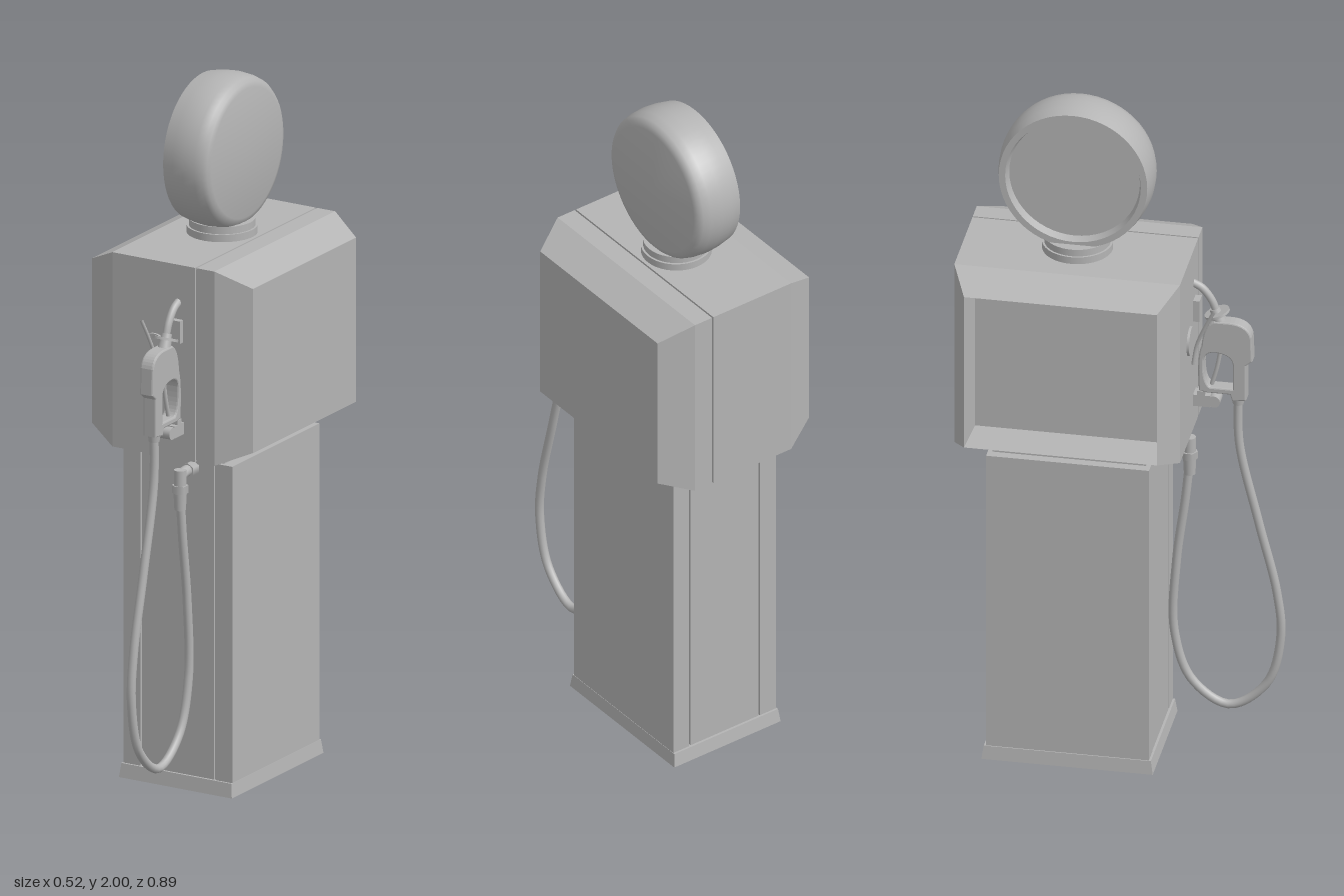
import * as THREE from 'three';
import { toCreasedNormals } from 'three/addons/utils/BufferGeometryUtils.js';

const V = (x, y, z) => new THREE.Vector3(x, y, z);

// Skin rectangular sections [x, y0, y1, z0, z1], closed at both ends
function sectionSolid(sections) {
  const pos = [];
  const loops = sections.map(([x, y0, y1, z0, z1]) => [[x, y0, z0], [x, y0, z1], [x, y1, z1], [x, y1, z0]]);
  const quad = (a, b, c, d) => [a, b, c, a, c, d].forEach(p => pos.push(...p));
  for (let i = 0; i < loops.length - 1; i++) {
    for (let j = 0; j < 4; j++) {
      const k = (j + 1) % 4;
      quad(loops[i][j], loops[i + 1][j], loops[i + 1][k], loops[i][k]);
    }
  }
  quad(...loops[0]);
  quad(...loops[loops.length - 1].slice().reverse());
  const g = new THREE.BufferGeometry();
  g.setAttribute('position', new THREE.Float32BufferAttribute(pos, 3));
  g.computeVertexNormals();
  return g;
}

export function createModel() {
  const model = new THREE.Group();
  model.name = 'fuelPump';
  const grey = new THREE.MeshStandardMaterial({ color: 0xb4b4b4 });
  grey.name = 'grey';

  const add = (name, geometry, x = 0, y = 0, z = 0) => {
    const m = new THREE.Mesh(geometry, grey);
    m.name = name;
    m.position.set(x, y, z);
    model.add(m);
    return m;
  };
  // Box given by its limits
  const box = (name, x0, x1, y0, y1, z0, z1) => add(name, new THREE.BoxGeometry(x1 - x0, y1 - y0, z1 - z0),
    (x0 + x1) / 2, (y0 + y1) / 2, (z0 + z1) / 2);
  const tube = (name, points, radius, segments = 24) => add(name, new THREE.TubeGeometry(
    new THREE.CatmullRomCurve3(points), segments, radius, 12, false));
  const cyl = (name, r0, r1, h, x, y, z, n = 24) => add(name, new THREE.CylinderGeometry(r0, r1, h, n), x, y, z);

  // Base with tapered top edge
  const base = new THREE.BoxGeometry(0.365, 0.04, 0.48);
  const p = base.attributes.position;
  for (let i = 0; i < p.count; i++) {
    if (p.getY(i) > 0) p.setXYZ(i, p.getX(i) * 0.975, p.getY(i), p.getZ(i) * 0.975);
  }
  base.computeVertexNormals();
  add('base', base, -0.006, 0.02, -0.125);

  // Column: core, two side doors separated by narrow grooves, and collar
  box('columnCore', -0.13, 0.12, 0.04, 0.955, -0.346, 0.096);
  box('columnFace', -0.122, 0.111, 0.04, 0.955, -0.352, 0.102);
  box('leftDoor', 0.117, 0.171, 0.04, 0.955, -0.353, 0.103);
  box('rightDoor', -0.181, -0.126, 0.04, 0.955, -0.353, 0.103);
  box('collar', -0.155, 0.138, 0.955, 0.985, -0.34, 0.09);

  // Cabinet: open recess on one side, groove across, closed bevelled panel on the other
  const full = [0.98, 1.542, -0.445, 0.187];
  const groove = [0.985, 1.536, -0.439, 0.181];
  const edge = [1.02, 1.495, -0.40, 0.14];
  add('cabinet', sectionSolid([
    [-0.15, 1.03, 1.485, -0.39, 0.13],
    [-0.26, ...edge], [-0.165, ...full], [0.102, ...full],
    [0.102, ...groove], [0.107, ...groove], [0.107, ...full],
    [0.165, ...full], [0.26, ...edge],
  ]));

  // Neck and round globe with a recessed face on one side
  cyl('neckFlange', 0.098, 0.098, 0.022, -0.006, 1.552, -0.13, 40);
  cyl('neck', 0.092, 0.092, 0.035, -0.006, 1.566, -0.13, 40);
  const globeProfile = [[0, -0.045], [0.183, -0.045], [0.19, -0.069], [0.208, -0.069], [0.215, -0.035],
    [0.218, 0], [0.215, 0.035], [0.209, 0.057], [0.2, 0.068], [0.185, 0.073], [0, 0.075]]
    .map(([r, h]) => new THREE.Vector2(r, h));
  const globe = toCreasedNormals(new THREE.LatheGeometry(globeProfile, 56), 0.6);
  globe.rotateZ(-Math.PI / 2);
  add('globe', globe, 0, 1.782, -0.131);

  // Nozzle body with grip opening, drawn in the side plane (z, y)
  const X = 0.046;
  const outline = new THREE.Shape();
  outline.moveTo(0.335, 1.085);
  outline.lineTo(0.335, 1.195);
  outline.lineTo(0.353, 1.21);
  outline.lineTo(0.35, 1.285);
  outline.quadraticCurveTo(0.34, 1.325, 0.29, 1.326);
  outline.lineTo(0.245, 1.326);
  outline.quadraticCurveTo(0.215, 1.31, 0.21, 1.245);
  outline.quadraticCurveTo(0.196, 1.21, 0.203, 1.105);
  outline.lineTo(0.225, 1.1);
  outline.lineTo(0.29, 1.1);
  outline.lineTo(0.296, 1.08);
  const opening = new THREE.Path();
  opening.moveTo(0.298, 1.118);
  opening.lineTo(0.235, 1.118);
  opening.quadraticCurveTo(0.214, 1.13, 0.216, 1.2);
  opening.quadraticCurveTo(0.22, 1.228, 0.25, 1.228);
  opening.quadraticCurveTo(0.298, 1.225, 0.298, 1.19);
  outline.holes.push(opening);
  const nozzle = new THREE.ExtrudeGeometry(outline, {
    depth: 0.032, bevelEnabled: true, bevelThickness: 0.005, bevelSize: 0.004, bevelOffset: -0.004, bevelSegments: 2, curveSegments: 8,
  });
  nozzle.rotateY(-Math.PI / 2);
  add('nozzleBody', nozzle, X + 0.016, 0, 0);
  tube('trigger', [V(X, 1.225, 0.26), V(X, 1.17, 0.25), V(X, 1.115, 0.235)], 0.006, 10);

  // Splash guard, spout and holders
  cyl('nozzleNeck', 0.014, 0.02, 0.05, X, 1.335, 0.252).rotation.x = -0.35;
  cyl('splashGuard', 0.036, 0.036, 0.007, X, 1.345, 0.251).rotation.x = -0.35;
  tube('spout', [V(X, 1.34, 0.252), V(X, 1.385, 0.235), V(X, 1.42, 0.208), V(X, 1.435, 0.18)], 0.011);
  box('upperHolder', X - 0.018, X + 0.018, 1.32, 1.385, 0.18, 0.205);
  box('lowerHolder', X - 0.02, X + 0.02, 1.055, 1.09, 0.18, 0.235);
  const holderTip = cyl('lowerHolderTip', 0.0175, 0.0175, 0.04, X, 1.0725, 0.245);
  holderTip.rotation.z = Math.PI / 2;
  box('lowerHolderLip', X - 0.02, X + 0.02, 1.075, 1.103, 0.198, 0.22);

  // Switch lever on a thin plate
  cyl('leverPlate', 0.042, 0.042, 0.008, -0.028, 1.29, 0.19, 32).rotation.x = Math.PI / 2;
  tube('lever', [V(-0.015, 1.21, 0.195), V(-0.016, 1.27, 0.205), V(-0.022, 1.33, 0.228), V(-0.029, 1.388, 0.256)], 0.005);

  // Hose loop
  const hosePath = [[1.1, 0.31], [0.94, 0.313], [0.7, 0.366], [0.48, 0.418], [0.34, 0.429], [0.19, 0.39],
    [0.112, 0.285], [0.18, 0.18], [0.33, 0.131], [0.55, 0.137], [0.75, 0.162], [0.88, 0.175]];
  tube('hose', hosePath.map(([y, z]) => V(X, y, z)), 0.0125, 100);
  cyl('hoseCollar', 0.019, 0.015, 0.03, X, 1.08, 0.31);

  // Elbow fitting joining the hose to the column
  cyl('hoseFerrule', 0.019, 0.016, 0.06, X, 0.86, 0.174);
  cyl('fittingNut', 0.023, 0.023, 0.022, X, 0.89, 0.174, 6);
  cyl('fittingStem', 0.017, 0.017, 0.06, X, 0.915, 0.174);
  tube('elbow', [V(X, 0.9, 0.174), V(X, 0.925, 0.172), V(X, 0.932, 0.155), V(X, 0.932, 0.09)], 0.016);
  cyl('wallNut', 0.022, 0.022, 0.03, X, 0.932, 0.122, 6).rotation.x = Math.PI / 2;

  return model;
}
